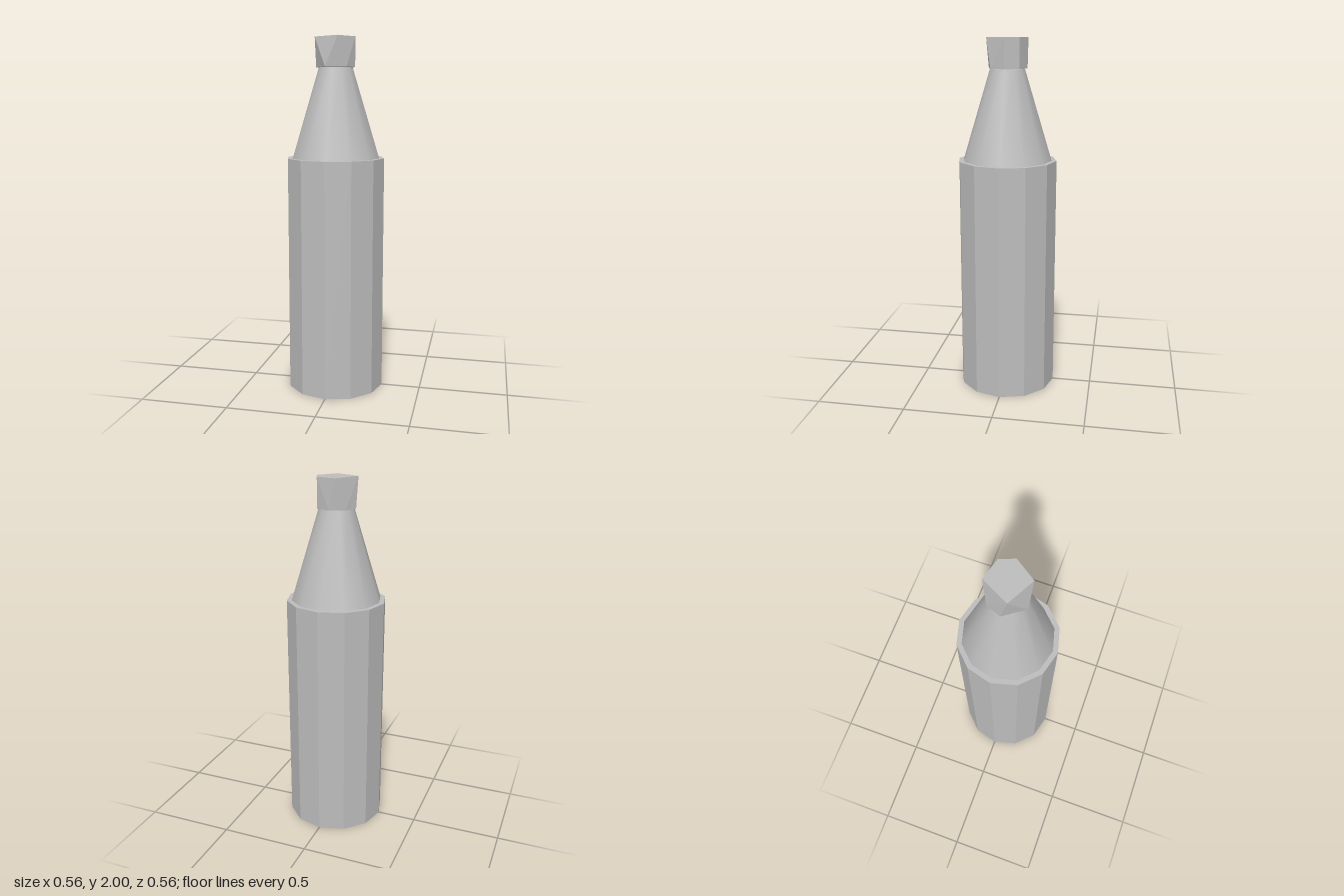
import * as THREE from 'three';
import { ConvexGeometry } from 'three/addons/geometries/ConvexGeometry.js';

export function createModel() {
  const model = new THREE.Group();
  model.name = 'bottle';
  const grey = new THREE.MeshStandardMaterial({ color: 0xbcbcbc });
  grey.name = 'plain grey';

  const add = (name, geometry, y = 0) => {
    const mesh = new THREE.Mesh(geometry, grey);
    mesh.name = name;
    mesh.position.y = y;
    model.add(mesh);
  };

  // Twelve-sided body with crisp facets
  const body = new THREE.CylinderGeometry(0.278, 0.278, 1.333, 12).toNonIndexed();
  body.computeVertexNormals();
  add('body', body, 0.6665);

  // Smooth tapering neck, standing on the narrow shoulder ledge
  add('neck', new THREE.CylinderGeometry(0.097, 0.25, 0.5, 12), 1.583);

  // Irregular cap: seven corners below, five above
  const ring = (y, corners) => corners.map(([x, z]) => new THREE.Vector3(x, y, z));
  add('cap', new ConvexGeometry([
    ...ring(1.835, [[0.111, 0], [0.079, 0.079], [-0.035, 0.11], [-0.111, 0],
      [-0.079, -0.079], [0, -0.111], [0.079, -0.079]]),
    ...ring(2, [[0.111, 0], [0.035, 0.11], [-0.11, 0.035], [-0.035, -0.11], [0.079, -0.079]]),
  ]));

  return model;
}
